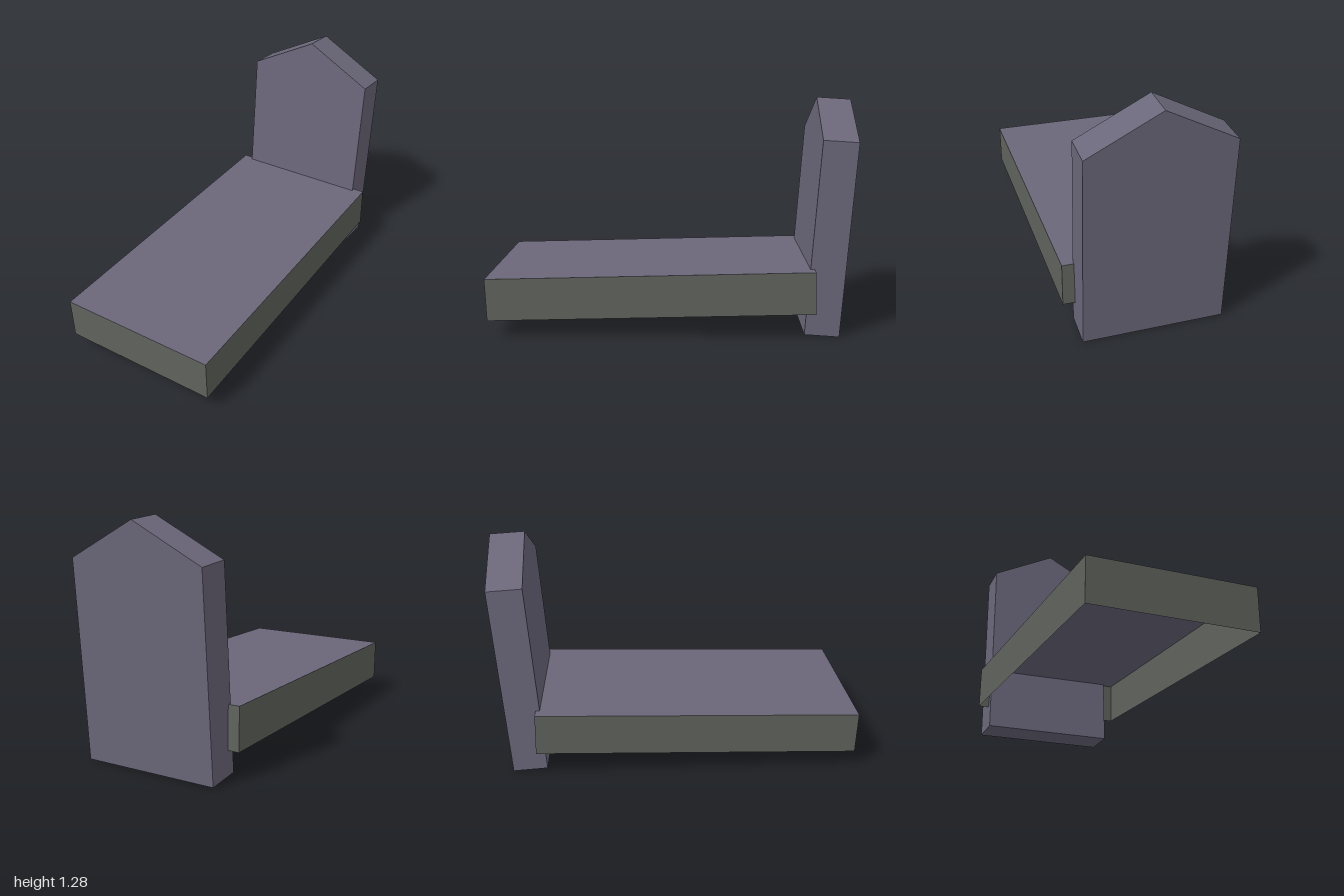
import * as THREE from 'three';

const stone = new THREE.MeshStandardMaterial({ color: 0x6b677a, side: THREE.DoubleSide });
stone.name = 'purple grey stone';
const mossy = new THREE.MeshStandardMaterial({ color: 0x60635d, side: THREE.DoubleSide });
mossy.name = 'mossy grey stone';

// Upright slab with a gabled top, base centred on its own origin
function makeHeadstone() {
  const half = 0.379, shoulder = 1.068, peak = 1.268, depth = 0.19;
  const outline = new THREE.Shape([
    new THREE.Vector2(-half, 0),
    new THREE.Vector2(half, 0),
    new THREE.Vector2(half, shoulder),
    new THREE.Vector2(0, peak),
    new THREE.Vector2(-half, shoulder),
  ]);
  const geometry = new THREE.ExtrudeGeometry(outline, { depth, bevelEnabled: false });
  geometry.translate(0, 0, -depth / 2);
  const mesh = new THREE.Mesh(geometry, stone);
  mesh.name = 'headstone';
  return mesh;
}

// Grave cover: a lid and four thin walls, open underneath
function makeGraveCover() {
  const width = 0.884, height = 0.233, length = 1.778;
  const cover = new THREE.Group();
  cover.name = 'graveCover';

  const lid = new THREE.Mesh(new THREE.PlaneGeometry(width, length).rotateX(-Math.PI / 2), stone);
  lid.name = 'coverTop';
  lid.position.y = height / 2;
  cover.add(lid);

  ['frontWall', 'leftWall', 'backWall', 'rightWall'].forEach((name, i) => {
    const isEnd = i % 2 === 0;
    const geometry = new THREE.PlaneGeometry(isEnd ? width : length, height);
    geometry.translate(0, 0, (isEnd ? length : width) / 2);
    geometry.rotateY(i * Math.PI / 2);
    const wall = new THREE.Mesh(geometry, mossy);
    wall.name = name;
    cover.add(wall);
  });
  return cover;
}

export function createModel() {
  const model = new THREE.Group();
  model.name = 'grave';

  // Headstone leans back and slightly sideways
  const headstone = makeHeadstone();
  headstone.position.set(-0.003, 0.0085, -0.825);
  headstone.rotation.set(-0.062, 0, -0.0075);
  model.add(headstone);

  // Cover dips towards the front
  const cover = makeGraveCover();
  cover.position.set(0, 0.238, 0.11);
  cover.rotation.x = 0.0293;
  model.add(cover);

  return model;
}
